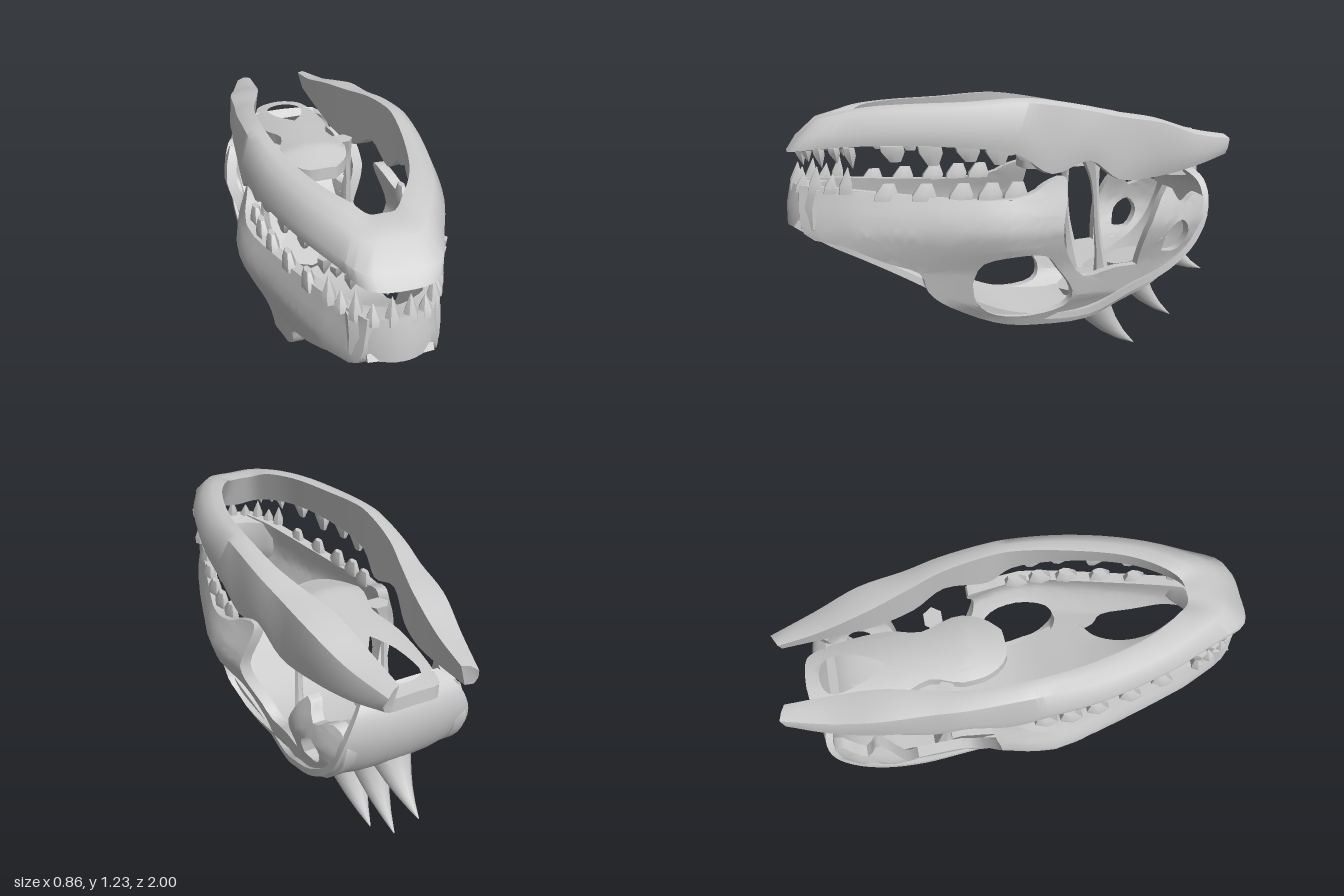
import * as THREE from 'three';
import { mergeVertices, toCreasedNormals } from 'three/addons/utils/BufferGeometryUtils.js';

const material = new THREE.MeshStandardMaterial({ color: 0xcccccc });
const V = (x, y, z) => new THREE.Vector3(x, y, z);

// Linear lookup in a table of [key, value] with rising keys
function lookup(table, t) {
  if (t <= table[0][0]) return table[0][1];
  for (let i = 1; i < table.length; i++) {
    const [a, va] = table[i - 1], [b, vb] = table[i];
    if (t <= b) return va + ((vb - va) * (t - a)) / (b - a);
  }
  return table[table.length - 1][1];
}

// Geometry from triangle corners, turned outward by its signed volume
function solid(tris) {
  let volume = 0;
  for (const [a, b, c] of tris) volume += a.dot(b.clone().cross(c));
  const pts = [];
  for (const [a, b, c] of tris) pts.push(...(volume < 0 ? [a, c, b] : [a, b, c]));
  const geo = mergeVertices(new THREE.BufferGeometry().setFromPoints(pts), 1e-4);
  return toCreasedNormals(geo, 0.8);
}

// Skin over closed rings of points, smoothed along its length, with end caps
function loft(rings, steps = 1) {
  const tracks = rings[0].map((_, j) => {
    const pts = rings.map((r) => r[j]);
    return steps > 1 ? new THREE.CatmullRomCurve3(pts, false, 'centripetal') : pts;
  });
  const rows = steps > 1 ? (rings.length - 1) * steps + 1 : rings.length;
  const at = (i, j) => (steps > 1 ? tracks[j].getPoint(i / (rows - 1)) : tracks[j][i]);
  const n = tracks.length, tris = [];
  for (let i = 0; i < rows - 1; i++) for (let j = 0; j < n; j++) {
    const k = (j + 1) % n, a = at(i, j), b = at(i, k), c = at(i + 1, k), d = at(i + 1, j);
    tris.push([a, b, c], [a, c, d]);
  }
  for (const i of [0, rows - 1]) {
    const mid = V(0, 0, 0);
    for (let j = 0; j < n; j++) mid.addScaledVector(at(i, j), 1 / n);
    for (let j = 0; j < n; j++) {
      const a = at(i, j), b = at(i, (j + 1) % n);
      tris.push(i ? [mid, a, b] : [mid, b, a]);
    }
  }
  return solid(tris);
}

const smoothLoop = (pts, k = 3) => {
  const v = [...pts, pts[0]].map((p) => new THREE.Vector2(...p));
  return new THREE.SplineCurve(v).getPoints(pts.length * k).slice(0, -1);
};

// Plate cut from an outline with holes, finely divided, then bent by a rule
function bentPlate(outline, holes, depth, bend) {
  const shape = new THREE.Shape(smoothLoop(outline));
  for (const h of holes) shape.holes.push(new THREE.Path(smoothLoop(h)));
  const geo = new THREE.ExtrudeGeometry(shape, { depth, bevelEnabled: false });
  const flat = geo.index ? geo.toNonIndexed() : geo;
  const pos = flat.attributes.position, tris = [];
  const split = (a, b, c) => {
    const l = [a.distanceTo(b), b.distanceTo(c), c.distanceTo(a)];
    const m = Math.max(...l);
    if (m < 0.055) return tris.push([a, b, c].map(bend));
    if (l[1] === m) [a, b, c] = [b, c, a];
    else if (l[2] === m && l[0] !== m) [a, b, c] = [c, a, b];
    const h = a.clone().add(b).multiplyScalar(0.5);
    split(a, h, c);
    split(h, b, c);
  };
  const p = (i) => new THREE.Vector3().fromBufferAttribute(pos, i);
  for (let i = 0; i < pos.count; i += 3) split(p(i), p(i + 1), p(i + 2));
  return solid(tris);
}

// Half width of the skull along its length, and its change with height
const HALF = [[-0.9, 0.25], [-0.75, 0.33], [-0.6, 0.36], [-0.3, 0.35], [-0.1, 0.395], [0, 0.42], [0.1, 0.43],
  [0.2, 0.415], [0.4, 0.36], [0.6, 0.3], [0.75, 0.25], [0.9, 0.18], [0.98, 0.13]];
const LEAN = [[0.2, 0.56], [0.27, 0.64], [0.35, 0.76], [0.5, 0.85], [0.6, 0.95], [0.67, 1], [0.74, 0.97],
  [0.85, 0.87], [0.92, 0.83]];
const sideX = (z, y) => lookup(HALF, z) * lookup(LEAN, y);

export function createModel() {
  const model = new THREE.Group();
  const add = (name, geo) => {
    const mesh = new THREE.Mesh(geo, material);
    mesh.name = name;
    model.add(mesh);
  };

  // U-shaped jaw: [bottom x, z, y, top x, z, y, inner x, z] from chin to end
  const half = [
    [0, 0.99, 1.0, 0, 0.86, 1.14, 0, 0.72], [0.13, 0.97, 1.01, 0.1, 0.86, 1.14, 0.05, 0.715],
    [0.21, 0.8, 1.03, 0.18, 0.74, 1.165, 0.1, 0.66], [0.29, 0.6, 1.04, 0.26, 0.57, 1.18, 0.18, 0.52],
    [0.36, 0.3, 1.03, 0.33, 0.3, 1.19, 0.25, 0.27], [0.375, 0.08, 1.0, 0.35, 0.05, 1.205, 0.28, 0.05],
    [0.36, -0.08, 0.91, 0.35, -0.05, 1.2, 0.28, -0.05], [0.35, -0.25, 0.96, 0.34, -0.25, 1.17, 0.26, -0.25],
    [0.32, -0.4, 0.87, 0.32, -0.4, 1.14, 0.22, -0.4], [0.28, -0.6, 0.87, 0.3, -0.6, 1.11, 0.17, -0.58],
    [0.24, -0.82, 0.91, 0.25, -0.8, 1.05, 0.14, -0.8], [0.19, -0.98, 0.95, 0.19, -1, 1.02, 0.13, -0.97],
  ];
  const jawRing = (s) => ([xb, zb, yb, xt, zt, yt, xi, zi]) => [
    V(s * xb, yb, zb), V(s * (xb ? Math.max(xb, xt) + 0.012 : 0), yb * 0.6 + yt * 0.4, zb * 0.7 + zt * 0.3),
    V(s * xt, yt, zt), V(s * (xt + xi) / 2, yt + 0.02, (zt + zi) / 2),
    V(s * xi, yt + 0.02, zi), V(s * (xi * 0.6 + xb * 0.4), yb, zi * 0.8 + zb * 0.2),
  ];
  add('lowerJaw', loft([...half.slice(1).reverse().map(jawRing(-1)), ...half.map(jawRing(1))], 4));

  // Roof and rear wall: [z, y, half width] from the snout round to the back rim
  const spine = [[0.98, 0.69, 0.13], [0.84, 0.6, 0.11], [0.7, 0.525, 0.07], [0.56, 0.455, 0.09],
    [0.45, 0.4, 0.16], [0.38, 0.36, 0.26], [0.28, 0.315, 0.28], [0.1, 0.245, 0.25], [-0.05, 0.22, 0.24],
    [-0.3, 0.23, 0.26], [-0.5, 0.33, 0.3], [-0.68, 0.42, 0.31], [-0.82, 0.55, 0.3], [-0.885, 0.72, 0.28],
    [-0.87, 0.85, 0.23], [-0.8, 0.92, 0.16]];
  const roofRings = spine.map(([z, y, w], i) => {
    const p = spine[Math.max(i - 1, 0)], q = spine[Math.min(i + 1, spine.length - 1)];
    const t = new THREE.Vector2(q[0] - p[0], q[1] - p[1]).normalize();
    const inward = V(0, -t.x, t.y);
    const row = (d) => [-1, -0.5, 0, 0.5, 1].map((f) =>
      V(f * w, y, z).addScaledVector(inward, d * (1 - 0.4 * f * f) + 0.35 * (f * w) ** 2));
    return [...row(0), ...row(0.05).reverse()];
  });
  add('skullRoof', loft(roofRings, 4));

  // Muzzle joining both sides at the front
  add('muzzle', loft([-0.18, -0.12, -0.05, 0, 0.05, 0.12, 0.18].map((x) => {
    const z = 1 - 3 * x * x, up = 0.02 - Math.abs(x) * 0.15;
    return [V(x, 0.86 + up, z - 0.02), V(x, 0.78, z), V(x, 0.69, z), V(x, 0.63, z - 0.1),
      V(x, 0.72, z - 0.15), V(x, 0.85, z - 0.13)];
  }), 2));

  // Side walls with eye openings, and the flaring bones at the back
  const wall = [[0.95, 0.87], [0.8, 0.86], [0.5, 0.83], [0.2, 0.81], [0.02, 0.83], [-0.06, 0.87],
    [-0.15, 0.89], [-0.15, 0.8], [-0.125, 0.68], [-0.15, 0.57], [-0.25, 0.44], [-0.4, 0.47],
    [-0.52, 0.48], [-0.64, 0.5], [-0.62, 0.41], [-0.45, 0.3], [-0.3, 0.215], [-0.05, 0.215], [0.15, 0.25],
    [0.35, 0.34], [0.44, 0.41], [0.48, 0.5], [0.62, 0.55], [0.78, 0.62], [0.94, 0.67]];
  const eye = [[0.26, 0.45], [0.22, 0.54], [0.08, 0.57], [-0.05, 0.56], [-0.12, 0.49], [-0.2, 0.38],
    [-0.17, 0.3], [-0.02, 0.27], [0.15, 0.29], [0.24, 0.36]];
  const flare = [[-0.5, 0.46], [-0.53, 0.64], [-0.63, 0.83], [-0.7, 0.75], [-0.79, 0.79], [-0.86, 0.72],
    [-0.82, 0.58], [-0.68, 0.45]];
  const flareHole = [[-0.61, 0.54], [-0.63, 0.63], [-0.7, 0.68], [-0.74, 0.62], [-0.69, 0.54]];
  // Slim posts inside, from palate to roof
  const post = [[0.17, 0.95, -0.32, 0.045], [0.2, 0.85, -0.33, 0.02], [0.21, 0.65, -0.34, 0.015],
    [0.21, 0.5, -0.36, 0.025], [0.2, 0.36, -0.38, 0.05]];
  for (const [s, side] of [[1, 'left'], [-1, 'right']]) {
    const bend = (p) => V(s * (sideX(p.x, p.y) - p.z), p.y, p.x);
    add(side + 'SkullWall', bentPlate(wall, [eye], 0.05, bend));
    add(side + 'RearFlare', bentPlate(flare, [flareHole], 0.05, bend));
    add(side + 'InnerPost', loft(post.map(([x, y, z, r]) => [0, 1, 2, 3, 4, 5].map((k) =>
      V(s * x + 1.2 * r * Math.cos(k * Math.PI / 3), y, z + r * Math.sin(k * Math.PI / 3)))), 3));
  }

  // Palate plate reaching forward from the rear rim, with a teardrop opening
  const palateHalf = [[0.06, -0.04], [0.13, -0.12], [0.15, -0.24], [0.11, -0.38], [0.15, -0.52],
    [0.155, -0.68], [0.13, -0.84], [0.08, -0.89]];
  const palate = [...palateHalf, ...palateHalf.map(([x, z]) => [-x, z]).reverse()];
  const drop = [[0, -0.55], [0.06, -0.65], [0.085, -0.78], [0.04, -0.83], [-0.04, -0.83], [-0.085, -0.78], [-0.06, -0.65]];
  add('palate', bentPlate(palate, [drop], 0.06, (p) =>
    V(p.x, 0.92 + p.z - 1.2 * p.x * p.x + lookup([[-0.9, -0.06], [-0.5, -0.01], [-0.2, 0.02], [-0.04, -0.02]], p.y), p.y)));

  // Three curved spikes down the back of the skull: start, bend, tip as [z, y], and radius
  [[[-0.35, 0.35], [-0.44, 0.11], [-0.63, 0], 0.12], [[-0.57, 0.45], [-0.63, 0.25], [-0.82, 0.13], 0.1],
    [[-0.74, 0.54], [-0.82, 0.41], [-0.98, 0.355], 0.085]].forEach(([a, b, c, r], i) => {
    const path = new THREE.QuadraticBezierCurve3(V(0, a[1], a[0]), V(0, b[1], b[0]), V(0, c[1], c[0]));
    const rings = [0, 0.2, 0.4, 0.6, 0.8, 1].map((t) => {
      const p = path.getPoint(t), d = path.getTangent(t), n = V(0, d.z, -d.y);
      const w = r * (1 - t) + 0.002;
      return Array.from({ length: 10 }, (_, k) => p.clone().addScaledVector(n, w * Math.cos(k * Math.PI / 5))
        .add(V(w * 1.1 * Math.sin(k * Math.PI / 5), 0, 0)));
    });
    add('spike' + (i + 1), loft(rings));
  });

  // Teeth as short tapering prisms set along both rows
  const fangs = [[0.035, 0.96], [0.1, 0.94], [0.15, 0.89], [0.185, 0.83], [0.215, 0.77]];
  const molars = [[0.255, 0.61], [0.295, 0.46], [0.325, 0.31], [0.34, 0.19], [0.34, 0.08]];
  const tooth = (name, x, y, z, len, w, tip) => add(name, loft([[0, 1], [0.35, 1], [1, tip]].map(([t, k]) =>
    Array.from({ length: 6 }, (_, j) => V(x + 0.028 * k * Math.cos(j * Math.PI / 3), y + len * t,
      z + w * k * Math.sin(j * Math.PI / 3) - 0.015 * t)))));
  for (const s of [1, -1]) {
    fangs.forEach(([x, z], i) => {
      tooth('skullFang', s * x, 0.84, z, 0.11 - (i % 2) * 0.03, 0.028, 0.06);
      tooth('jawFang', s * (x + 0.01), 1.03, z - 0.02, -0.085 + (i % 2) * 0.02, 0.026, 0.06);
    });
    molars.forEach(([x, z], i) => {
      tooth('skullMolar', s * (x - 0.005), 0.81, z, 0.07, 0.055, 0.5);
      tooth('jawMolar', s * x, 1.035, z - 0.03, -0.065 - (i % 2) * 0.015, 0.055, 0.45);
    });
  }
  return model;
}
